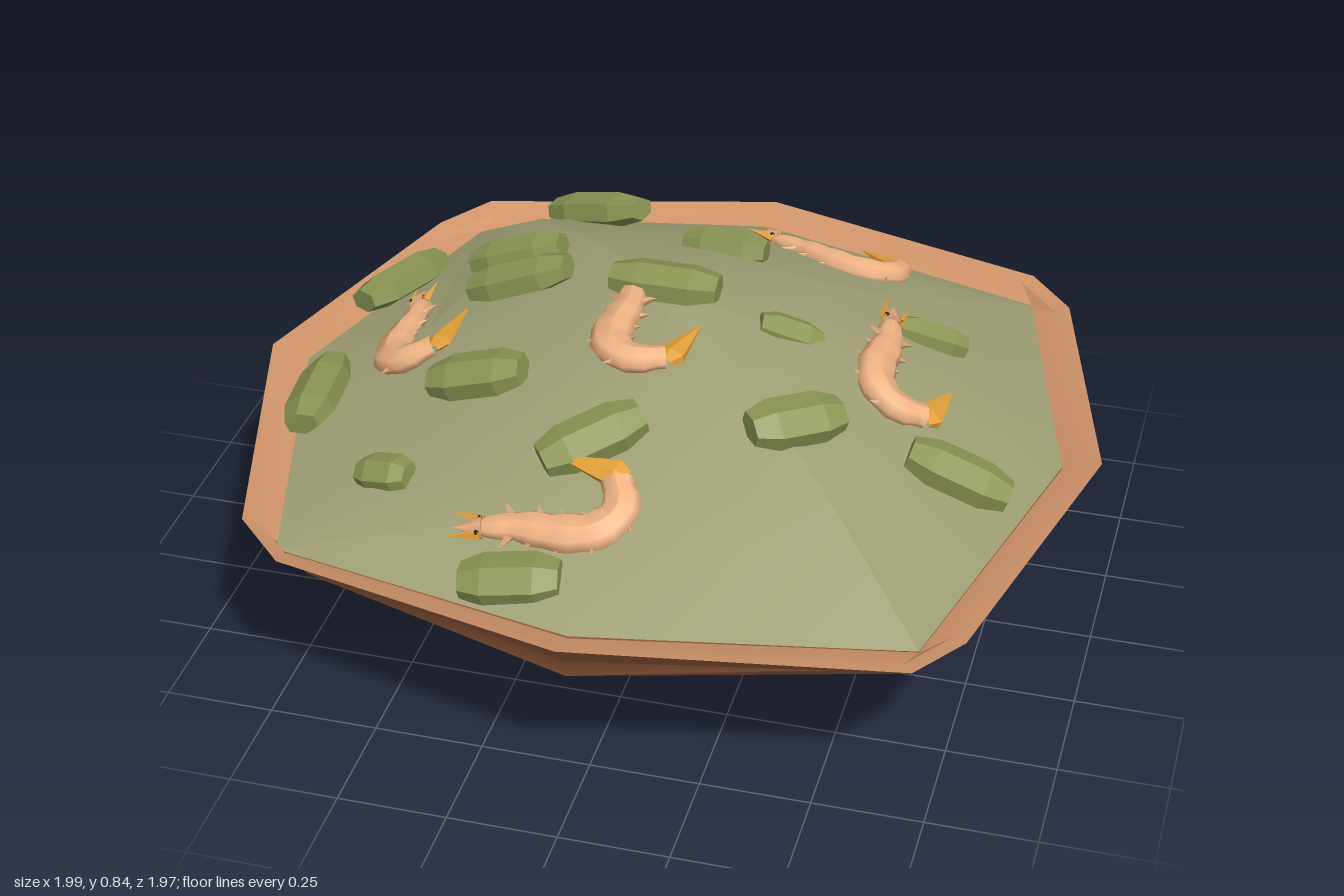
import * as THREE from 'three';
import { toCreasedNormals } from 'three/addons/utils/BufferGeometryUtils.js';

const mat = (color, extra = {}) => new THREE.MeshStandardMaterial({ color, ...extra });
const clay = mat(0xa0623f, { side: THREE.DoubleSide });
const paleClay = mat(0xd0946a, { side: THREE.DoubleSide });
const stew = mat(0x9f9f74, { side: THREE.DoubleSide });
const okra = mat(0x8a9452, { flatShading: true });
const flesh = mat(0xf0b484);
const orange = mat(0xe5a23a, { flatShading: true });
const dark = mat(0x2a1a12);

function add(parent, name, geometry, material) {
  const mesh = new THREE.Mesh(geometry, material);
  mesh.name = name;
  parent.add(mesh);
  return mesh;
}

// Outline of the rim: a square with bulging sides and cut corners
const OUTER = [[0, -0.99], [0.7, -0.83], [0.81, -0.7], [0.99, 0], [0.81, 0.7], [0.72, 0.83],
  [0, 0.98], [-0.68, 0.81], [-0.81, 0.68], [-1, 0], [-0.81, -0.69], [-0.72, -0.83]];
// Same point order, with each cut corner closed to a single point
const INNER = OUTER.map(([x, z]) => (x && z && Math.abs(x) < 0.9)
  ? [Math.sign(x) * 0.715, Math.sign(z) * 0.725] : [x * 0.91, z * 0.91]);
// One height for the sides and a height rule for the corners
const ring = (outline, s, y, corner = () => y) => outline.map(([x, z]) =>
  [x * s, x && z ? corner(x, z) : y, z * s]);
// The mound's shoulders differ from corner to corner
const shoulder = (x, z) => (x > 0 ? (z > 0 ? 0.6 : 0.565) : (z > 0 ? 0.555 : 0.645));

// Skin joining successive rings
function loft(rings, crease) {
  const n = rings[0].length, index = [];
  for (let i = 0; i < rings.length - 1; i++) {
    for (let j = 0; j < n; j++) {
      const a = i * n + j, b = i * n + (j + 1) % n;
      index.push(a, a + n, b, b, a + n, b + n);
    }
  }
  const g = new THREE.BufferGeometry();
  g.setAttribute('position', new THREE.Float32BufferAttribute(rings.flat(2), 3));
  g.setIndex(index);
  return toCreasedNormals(g, crease);
}

// Lean an object to follow the slope of the mound
function place(obj, x, y, z, yaw, slope) {
  const r = Math.hypot(x, z) || 1;
  const normal = new THREE.Vector3(x / r * slope, 1, z / r * slope).normalize();
  obj.position.set(x, y, z);
  obj.quaternion.setFromUnitVectors(new THREE.Vector3(0, 1, 0), normal)
    .multiply(new THREE.Quaternion().setFromAxisAngle(new THREE.Vector3(0, 1, 0), yaw));
}

// Six-sided pod piece: straight in the middle, narrowing to blunt ends
function podGeometry() {
  const profile = [[0, -0.5], [0.34, -0.5], [0.5, -0.26], [0.5, 0.26], [0.34, 0.5], [0, 0.5]];
  const g = new THREE.LatheGeometry(profile.map(([r, y]) => new THREE.Vector2(r, y)), 6);
  return g.rotateZ(Math.PI / 2).rotateX(Math.PI / 6);
}

// Cone from one point towards another
function spike(parent, name, from, to, radius, material, sides = 4) {
  const a = new THREE.Vector3(...from), d = new THREE.Vector3(...to).sub(a);
  const g = new THREE.ConeGeometry(radius, d.length(), sides).translate(0, d.length() / 2, 0);
  const m = add(parent, name, g, material);
  m.position.copy(a);
  m.quaternion.setFromUnitVectors(new THREE.Vector3(0, 1, 0), d.normalize());
}

function shrimp() {
  const group = new THREE.Group();
  group.name = 'shrimp';
  const path = new THREE.CatmullRomCurve3([[-0.085, -0.15], [-0.075, -0.07], [-0.08, 0.03],
    [-0.065, 0.105], [-0.01, 0.145], [0.06, 0.12]].map(([x, z]) => new THREE.Vector3(x, 0, z)));

  // Curled body, swelling towards the bend
  const N = 16, S = 8;
  const body = new THREE.TubeGeometry(path, N, 1, S);
  const p = body.attributes.position, v = new THREE.Vector3();
  for (let i = 0; i <= N; i++) {
    const t = i / N, c = path.getPointAt(t);
    const r = 0.026 + 0.023 * Math.sin(Math.PI * t * 0.85) - (i % 3 ? 0 : 0.004);
    for (let j = 0; j <= S; j++) {
      const k = i * (S + 1) + j;
      v.fromBufferAttribute(p, k).sub(c).multiplyScalar(r);
      v.y *= 0.65;
      v.add(c);
      p.setXYZ(k, v.x, v.y, v.z);
    }
  }
  body.computeVertexNormals();
  add(group, 'shrimpBody', body, flesh);

  // Pointed head with feelers and eyes
  spike(group, 'shrimpHead', [-0.085, 0, -0.15], [-0.095, 0.005, -0.215], 0.028, flesh, 6);
  for (const s of [-1, 1]) {
    spike(group, 'feeler', [-0.088 + s * 0.018, 0.005, -0.15], [-0.09 + s * 0.032, 0.012, -0.225], 0.012, orange);
    const eye = add(group, 'eye', new THREE.SphereGeometry(0.006, 6, 4), dark);
    eye.position.set(-0.088 + s * 0.018, 0.014, -0.155);
  }

  // Small legs inside the curl and shell tips outside
  for (let i = 1; i < 6; i++) {
    const t = i / 6.5, c = path.getPointAt(t), d = path.getTangentAt(t);
    for (const s of [-1, 1]) {
      const reach = s > 0 ? 0.058 : 0.054;
      spike(group, s > 0 ? 'leg' : 'shellTip',
        [c.x + d.z * s * 0.025, 0, c.z - d.x * s * 0.025],
        [c.x + d.z * s * reach - d.x * 0.018, 0, c.z - d.x * s * reach - d.z * 0.018], 0.013, flesh);
    }
  }

  // Tail fan: narrow root, quick swell, long point
  const fan = [[0.018, 0], [0.036, 0.03], [0.026, 0.075], [0.004, 0.165]];
  const tail = add(group, 'shrimpTail',
    new THREE.LatheGeometry(fan.map(([r, y]) => new THREE.Vector2(r, y)), 6), orange);
  tail.position.set(0.065, 0, 0.145);
  tail.rotation.set(-Math.PI / 2, 0, -0.22);
  tail.scale.z = 0.55;
  return group;
}

export function createModel() {
  const model = new THREE.Group();
  model.name = 'bowlOfStew';

  // Bowl with flared edge that thins at the corners, and the paler top of its rim
  const lip = ring(OUTER, 1, 0.485, (x) => (x > 0 ? 0.46 : 0.47));
  add(model, 'bowl', loft([ring(INNER, 0, 0), ring(INNER, 0.66, 0.16),
    ring(OUTER, 0.93, 0.37, () => 0.405), ring(OUTER, 0.945, 0.42, () => 0.43), lip], 0.6), clay);
  add(model, 'rim', loft([lip, ring(OUTER, 0.965, 0.475, () => 0.455),
    ring(INNER, 1, 0.455, () => 0.435)], 0.3), paleClay);

  // Mound of stew
  add(model, 'stewMound', loft([ring(INNER, 1, 0.46, () => 0.437), ring(INNER, 0.66, 0.595, shoulder),
    ring(INNER, 0.4, 0.688, (x, z) => (shoulder(x, z) + 0.785) / 2), ring(INNER, 0, 0.785)], 0.35), stew);

  // Okra pieces: x, y, z, yaw in degrees, length
  const pod = podGeometry();
  const pieces = [
    [-0.35, 0.64, -0.57, -20, 0.26], [0.01, 0.67, -0.42, 0, 0.2], [-0.77, 0.54, -0.28, 62, 0.25],
    [-0.45, 0.69, -0.23, 0, 0.23], [-0.39, 0.735, -0.05, 0, 0.25], [-0.03, 0.8, -0.01, 0, 0.25],
    [0.26, 0.7, -0.02, 15, 0.15], [0.54, 0.575, -0.29, 20, 0.17], [0.7, 0.545, 0.21, 0, 0.24],
    [0.35, 0.69, 0.31, 38, 0.22], [-0.07, 0.67, 0.46, 38, 0.24], [-0.39, 0.67, 0.28, 0, 0.23],
    [-0.81, 0.505, 0.2, 92, 0.25], [-0.53, 0.535, 0.52, -10, 0.13], [-0.16, 0.5, 0.78, 8, 0.22],
  ];
  for (const [x, y, z, deg, len] of pieces) {
    const piece = add(model, 'okraPiece', pod, okra);
    place(piece, x, y, z, THREE.MathUtils.degToRad(deg), Math.hypot(x, z) < 0.1 ? 0 : 0.4);
    piece.scale.set(len, len < 0.18 ? 0.08 : 0.085, len < 0.18 ? 0.1 : 0.13);
  }

  // Shrimps: x, y, z, yaw in degrees, slope
  for (const [x, y, z, deg, slope] of [
    [-0.6, 0.6, 0, 0, 0.55], [0.54, 0.63, -0.03, 0, 0.5], [-0.01, 0.795, 0.17, 0, 0],
    [-0.1, 0.61, 0.62, 90, 0.55], [0.25, 0.535, -0.68, 63, 0.35]]) {
    const s = shrimp();
    place(s, x, y, z, THREE.MathUtils.degToRad(deg), slope);
    model.add(s);
  }
  return model;
}
